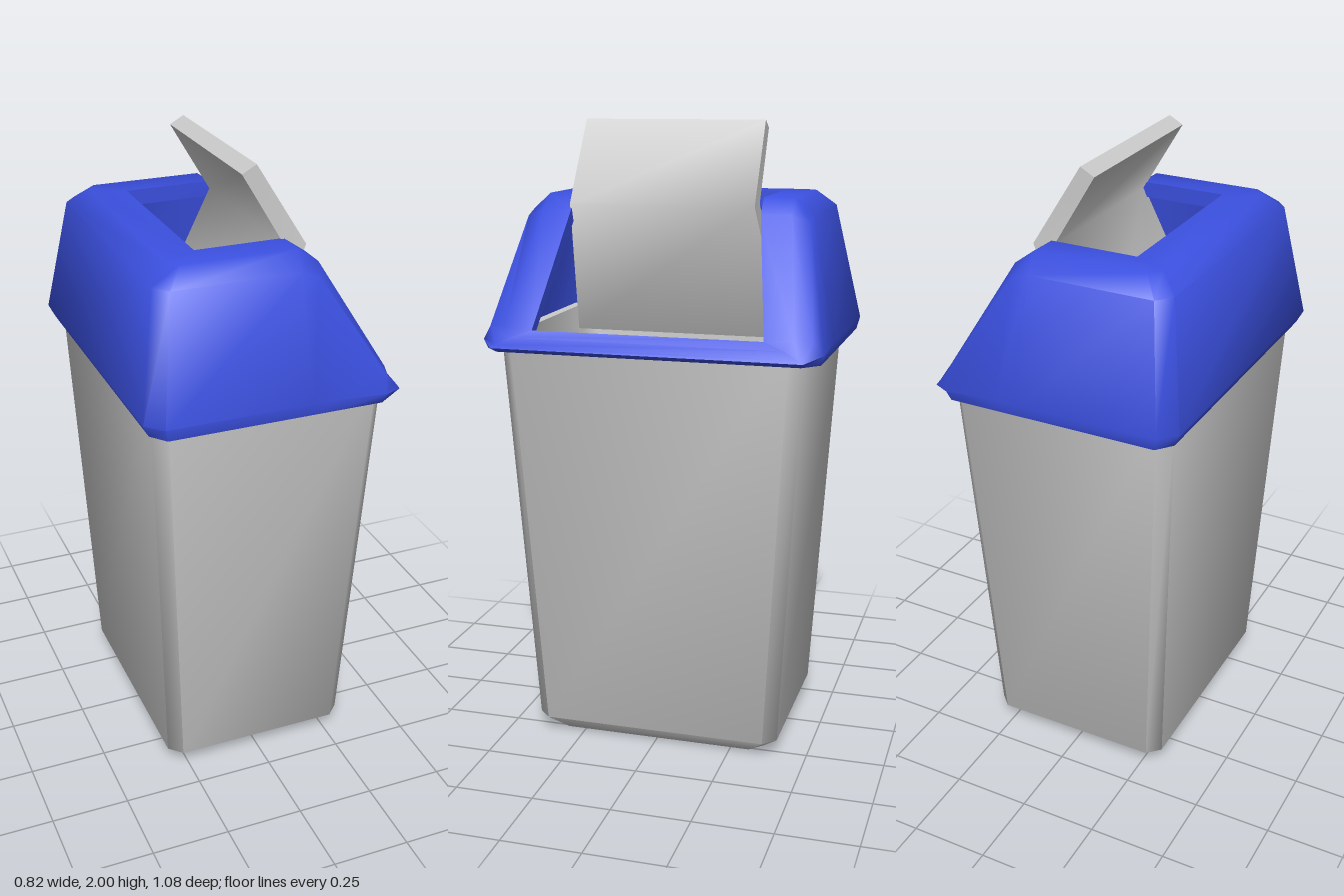
import * as THREE from 'three';
import { toCreasedNormals } from 'three/addons/utils/BufferGeometryUtils.js';

// Full ring from the z > 0 half, given back to front
const ring = (half) => [...half, ...half.map(([x, y, z]) => [x, y, -z]).reverse()];

// Rectangular ring with chamfered corners
const rectRing = (x, z, y, c = 0.04) =>
  ring([[-x, y, z - c], [-x + c, y, z], [x - c, y, z], [x, y, z - c]]);

// Ring collapsed to its middle, used as an end cap
const cap = (r) => {
  const mid = [0, 1, 2].map((k) => r.reduce((sum, p) => sum + p[k], 0) / r.length);
  return r.map(() => mid);
};

// Skin a list of rings with quads
function loft(rings, crease) {
  const n = rings[0].length;
  const index = [];
  for (let r = 0; r < rings.length - 1; r++) {
    for (let i = 0; i < n; i++) {
      const a = r * n + i, b = r * n + (i + 1) % n;
      index.push(a, b, b + n, a, b + n, a + n);
    }
  }
  const geo = new THREE.BufferGeometry();
  geo.setAttribute('position', new THREE.Float32BufferAttribute(rings.flat(2), 3));
  geo.setIndex(index);
  return toCreasedNormals(geo, crease);
}

export function createModel() {
  const group = new THREE.Group();
  const grey = new THREE.MeshStandardMaterial({ color: 0xcccccc, side: THREE.DoubleSide });
  const blue = new THREE.MeshStandardMaterial({ color: 0x3b50e0, side: THREE.DoubleSide });
  const add = (name, geo, material) => {
    const mesh = new THREE.Mesh(geo, material);
    mesh.name = name;
    group.add(mesh);
    return mesh;
  };

  // Tapered bin: outside from the floor up, over the rim, down the inside
  const base = rectRing(0.26, 0.35, 0);
  const innerFloor = rectRing(0.27, 0.365, 0.04);
  add('binBody', loft([
    cap(base),
    base,
    rectRing(0.31, 0.405, 0.05),
    rectRing(0.372, 0.482, 1.35),
    rectRing(0.335, 0.445, 1.35),
    rectRing(0.29, 0.385, 0.08),
    innerFloor,
    cap(innerFloor),
  ], 1.0), grey);

  // Hood points: back, back corner, two at the fold, front corner, front
  const hoodRings = [
    // outer bottom edge and skirt
    [[-0.39, 1.30, 0.48], [-0.35, 1.30, 0.53], [0.10, 1.30, 0.53], [0.17, 1.30, 0.53], [0.33, 1.30, 0.53], [0.385, 1.30, 0.48]],
    [[-0.41, 1.34, 0.49], [-0.36, 1.34, 0.54], [0.10, 1.34, 0.54], [0.17, 1.34, 0.54], [0.34, 1.33, 0.54], [0.41, 1.315, 0.49]],
    // shoulder
    [[-0.35, 1.72, 0.41], [-0.31, 1.72, 0.457], [0.09, 1.72, 0.457], [0.145, 1.70, 0.457], [0.355, 1.375, 0.51], [0.405, 1.325, 0.475]],
    // top face and slope
    [[-0.29, 1.77, 0.36], [-0.26, 1.77, 0.398], [0.10, 1.77, 0.398], [0.165, 1.725, 0.40], [0.373, 1.38, 0.455], [0.392, 1.348, 0.43]],
    // opening edge and its inner lip
    [[-0.18, 1.77, 0.30], [-0.18, 1.77, 0.30], [0.10, 1.77, 0.30], [0.165, 1.725, 0.305], [0.372, 1.37, 0.365], [0.372, 1.37, 0.365]],
    [[-0.18, 1.72, 0.30], [-0.18, 1.72, 0.30], [0.09, 1.72, 0.30], [0.135, 1.695, 0.305], [0.345, 1.355, 0.365], [0.345, 1.355, 0.365]],
    // inside of the shell, back down to the bottom edge
    [[-0.31, 1.72, 0.38], [-0.28, 1.72, 0.42], [0.09, 1.72, 0.42], [0.13, 1.69, 0.42], [0.33, 1.36, 0.47], [0.36, 1.345, 0.45]],
    [[-0.37, 1.30, 0.45], [-0.34, 1.30, 0.485], [0.10, 1.30, 0.485], [0.17, 1.30, 0.485], [0.33, 1.30, 0.485], [0.37, 1.30, 0.45]],
  ].map(ring);
  add('hood', loft([...hoodRings, hoodRings[0]], 1.0), blue);

  // Swing flap, tipped open: [inner x, y], [outer x, y], half width
  const flapRings = [
    [[-0.08, 1.33], [-0.04, 1.31], 0.35],
    [[0.10, 1.75], [0.17, 1.745], 0.297],
    [[-0.035, 1.975], [0.01, 2.0], 0.293],
  ].map(([a, b, w]) => ring([[...a, w], [...b, w]]));
  const flap = add('swingFlap',
    loft([cap(flapRings[0]), ...flapRings, cap(flapRings[2])], 1.2), grey);
  flap.position.z = 0.01;

  return group;
}
